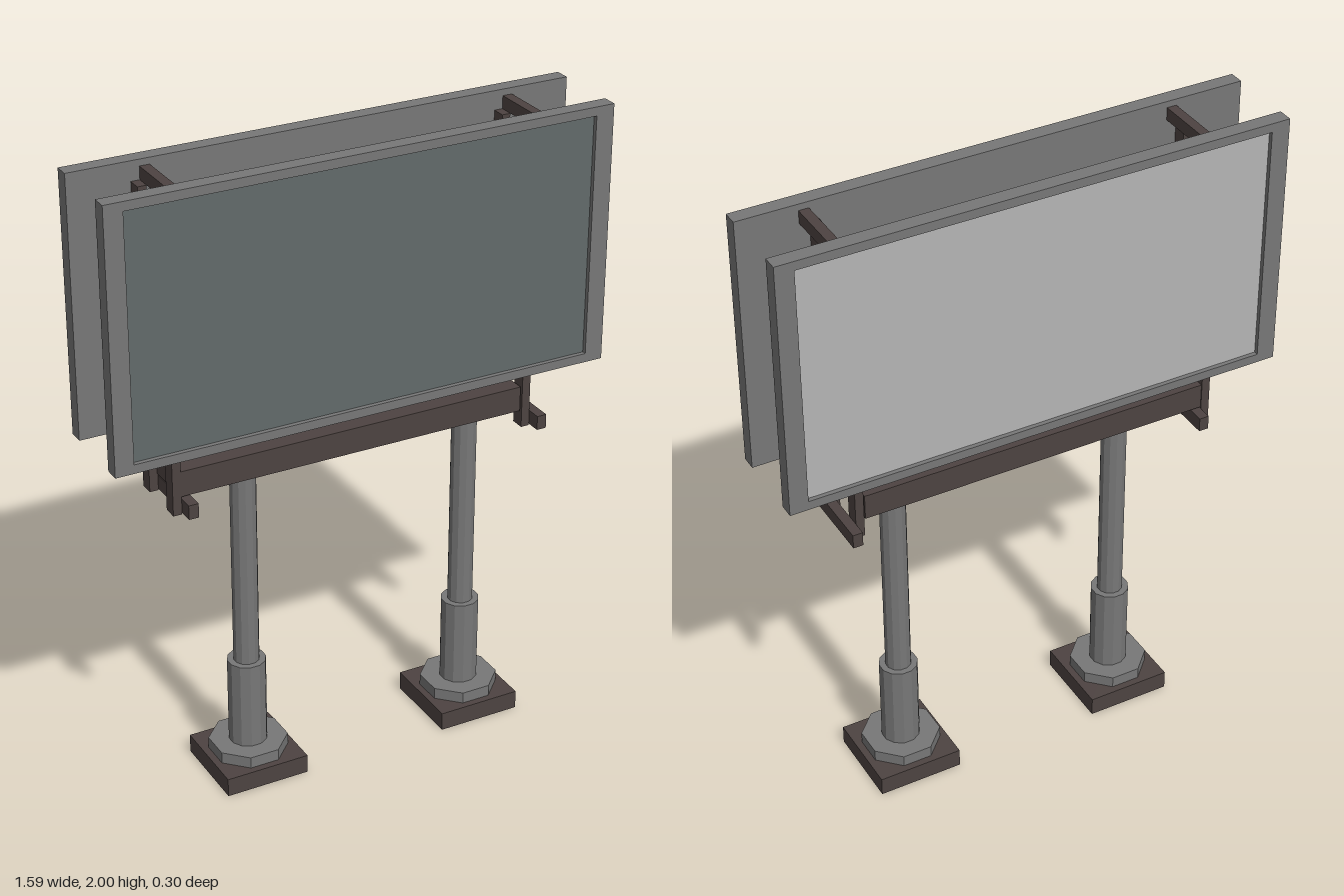
import * as THREE from 'three';

const steel = new THREE.MeshStandardMaterial({ color: 0x777777, flatShading: true });
const iron = new THREE.MeshStandardMaterial({ color: 0x4d4341, flatShading: true });
const slate = new THREE.MeshStandardMaterial({ color: 0x626a6a });
const pale = new THREE.MeshStandardMaterial({ color: 0xb4b4b4 });

export function createModel() {
  const model = new THREE.Group();
  model.name = 'billboard';

  const add = (parent, name, geometry, material) => {
    const mesh = new THREE.Mesh(geometry, material);
    mesh.name = name;
    parent.add(mesh);
    return mesh;
  };
  // Box given by its limits on each axis
  const box = (parent, name, material, [x0, x1], [y0, y1], [z0, z1]) =>
    add(parent, name, new THREE.BoxGeometry(x1 - x0, y1 - y0, z1 - z0), material)
      .position.set((x0 + x1) / 2, (y0 + y1) / 2, (z0 + z1) / 2);
  // Upright cylinder between two heights
  const column = (parent, name, r, y0, y1, sides) => {
    const mesh = add(parent, name, new THREE.CylinderGeometry(r, r, y1 - y0, sides), steel);
    mesh.position.y = (y0 + y1) / 2;
    mesh.rotation.y = Math.PI / sides;
  };
  // Rectangular ring extruded along z
  const ring = (w, h, innerW, innerH, depth) => {
    const rect = (T, a, b) => {
      const p = new T();
      p.moveTo(-a / 2, -b / 2).lineTo(a / 2, -b / 2).lineTo(a / 2, b / 2).lineTo(-a / 2, b / 2);
      p.closePath();
      return p;
    };
    const shape = rect(THREE.Shape, w, h);
    shape.holes.push(rect(THREE.Path, innerW, innerH));
    return new THREE.ExtrudeGeometry(shape, { depth, bevelEnabled: false });
  };

  // Two posts on hollow footings
  for (const x of [-0.335, 0.412]) {
    const post = new THREE.Group();
    post.name = 'post';
    post.position.set(x, 0, -0.002);
    column(post, 'pole', 0.04, 0.36, 1.29, 12);
    column(post, 'sleeve', 0.06, 0.09, 0.38, 12);
    column(post, 'flange', 0.122, 0.06, 0.097, 8);
    add(post, 'footingRim', ring(0.27, 0.27, 0.2, 0.2, 0.05), iron).rotation.x = -Math.PI / 2;
    box(post, 'footingTop', iron, [-0.135, 0.135], [0.05, 0.06], [-0.135, 0.135]);
    model.add(post);
  }

  // Deck beam carrying the frames
  box(model, 'deckBeam', iron, [-0.58, 0.545], [1.05, 1.13], [-0.1, 0.1]);

  // End frames: uprights with a bottom crossbar and a top tie on their +x side
  for (const x of [-0.605, 0.55]) {
    const frame = new THREE.Group();
    frame.name = 'endFrame';
    frame.position.x = x;
    for (const s of [-1, 1]) {
      const z = s > 0 ? [0.058, 0.103] : [-0.103, -0.058];
      box(frame, 'upright', iron, [0, 0.027], [0.995, 1.94], z);
    }
    box(frame, 'crossbar', iron, [0.027, 0.058], [1.0, 1.045], [-0.147, 0.15]);
    box(frame, 'topTie', iron, [0.027, 0.058], [1.94, 1.98], [-0.102, 0.102]);
    model.add(frame);
  }

  // Stringers behind each panel
  for (const y of [1.305, 1.483, 1.66, 1.838])
    for (const z of [[0.075, 0.102], [-0.102, -0.075]])
      box(model, 'stringer', iron, [-0.615, 0.585], [y - 0.022, y + 0.022], z);

  // Front and back panels with recessed faces
  for (const [name, turn, face] of [['frontPanel', 0, slate], ['backPanel', Math.PI, pale]]) {
    const panel = new THREE.Group();
    panel.name = name;
    panel.position.y = 1.595;
    panel.rotation.y = turn;
    add(panel, 'panelRim', ring(1.592, 0.81, 1.476, 0.754, 0.048), steel).position.z = 0.102;
    box(panel, 'panelBacking', steel, [-0.738, 0.738], [-0.377, 0.377], [0.102, 0.12]);
    add(panel, 'panelFace', new THREE.PlaneGeometry(1.476, 0.754), face).position.z = 0.136;
    model.add(panel);
  }

  return model;
}
